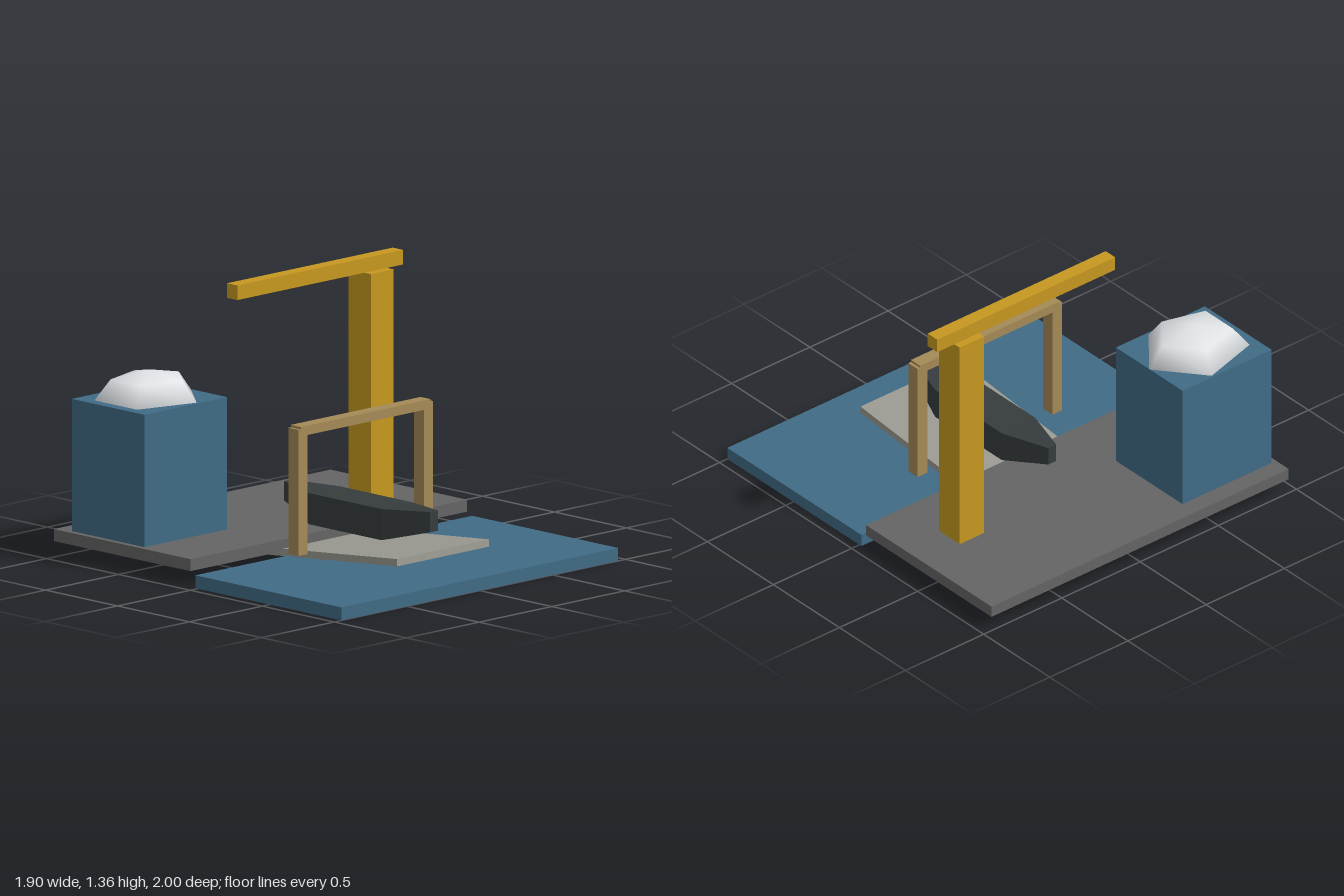
import * as THREE from 'three';

const mat = (name, color, extra = {}) => {
  const m = new THREE.MeshStandardMaterial({ color, ...extra });
  m.name = name;
  return m;
};

// Box given by its extents on each axis
function slab(name, material, [x0, x1], [y0, y1], [z0, z1]) {
  const mesh = new THREE.Mesh(new THREE.BoxGeometry(x1 - x0, y1 - y0, z1 - z0), material);
  mesh.position.set((x0 + x1) / 2, (y0 + y1) / 2, (z0 + z1) / 2);
  mesh.name = name;
  return mesh;
}

// Boat hull: a box with four cross-sections, narrowed and raised at both ends
function hullGeometry() {
  const sections = [
    { z: -0.335, half: 0.025, bottom: 0.245, top: 0.341 },
    { z: -0.08, half: 0.107, bottom: 0.178, top: 0.334 },
    { z: 0.425, half: 0.107, bottom: 0.178, top: 0.334 },
    { z: 0.68, half: 0.027, bottom: 0.245, top: 0.347 },
  ];
  const geo = new THREE.BoxGeometry(2, 2, 3, 1, 1, 3);
  const p = geo.attributes.position;
  for (let i = 0; i < p.count; i++) {
    const s = sections[Math.round(p.getZ(i) + 1.5)];
    p.setXYZ(i, p.getX(i) * s.half, p.getY(i) > 0 ? s.top : s.bottom, s.z);
  }
  const flat = geo.toNonIndexed();
  flat.computeVertexNormals();
  return flat;
}

export function createModel() {
  const blue = mat('blue', 0x406b86);
  const grey = mat('grey', 0x646464);
  const yellow = mat('yellow', 0xc79820);
  const tan = mat('tan', 0xa58a56);
  const dark = mat('charcoal', 0x363c3d);
  const pale = mat('pale grey', 0x9a9a92);
  const white = mat('white', 0xe2e6e9, { side: THREE.DoubleSide });

  const model = new THREE.Group();
  model.name = 'slipway';

  // Water and quay
  model.add(slab('water', blue, [-0.95, 0.95], [0, 0.065], [-0.015, 1]));
  model.add(slab('quay', grey, [-0.95, 0.95], [0.08, 0.14], [-1, -0.05]));

  // Storage block with a faceted, smooth-shaded mound on top
  model.add(slab('block', blue, [-0.92, -0.352], [0.14, 0.802], [-0.905, -0.4]));
  const moundGeo = new THREE.SphereGeometry(1, 5, 2, Math.PI, Math.PI * 2, 0, Math.PI / 2);
  moundGeo.scale(0.285, 0.143, 0.252);
  const mound = new THREE.Mesh(moundGeo, white);
  mound.position.set(-0.635, 0.802, -0.655);
  mound.name = 'mound';
  model.add(mound);

  // Crane
  const crane = new THREE.Group();
  crane.name = 'crane';
  crane.add(slab('craneMast', yellow, [0.555, 0.71], [0.14, 1.288], [-0.475, -0.32]));
  crane.add(slab('craneJib', yellow, [-0.318, 0.82], [1.288, 1.361], [-0.435, -0.363]));
  model.add(crane);

  // Sloping ramp
  const ramp = new THREE.Mesh(new THREE.BoxGeometry(0.632, 0.036, 1.139), pale);
  ramp.position.set(0, 0.096, 0.177);
  ramp.rotation.x = -0.093;
  ramp.name = 'ramp';
  model.add(ramp);

  // Boat hull
  const hull = new THREE.Mesh(hullGeometry(), dark);
  hull.name = 'hull';
  model.add(hull);

  // Gate frame over the ramp
  const gate = new THREE.Group();
  gate.name = 'gate';
  for (const side of [-1, 1]) {
    const x = side * 0.431;
    gate.add(slab('gatePost', tan, [x - 0.031, x + 0.031], [0.12, 0.751], [0.137, 0.207]));
  }
  gate.add(slab('gateBeam', tan, [-0.446, 0.446], [0.716, 0.763], [0.137, 0.207]));
  model.add(gate);

  return model;
}
